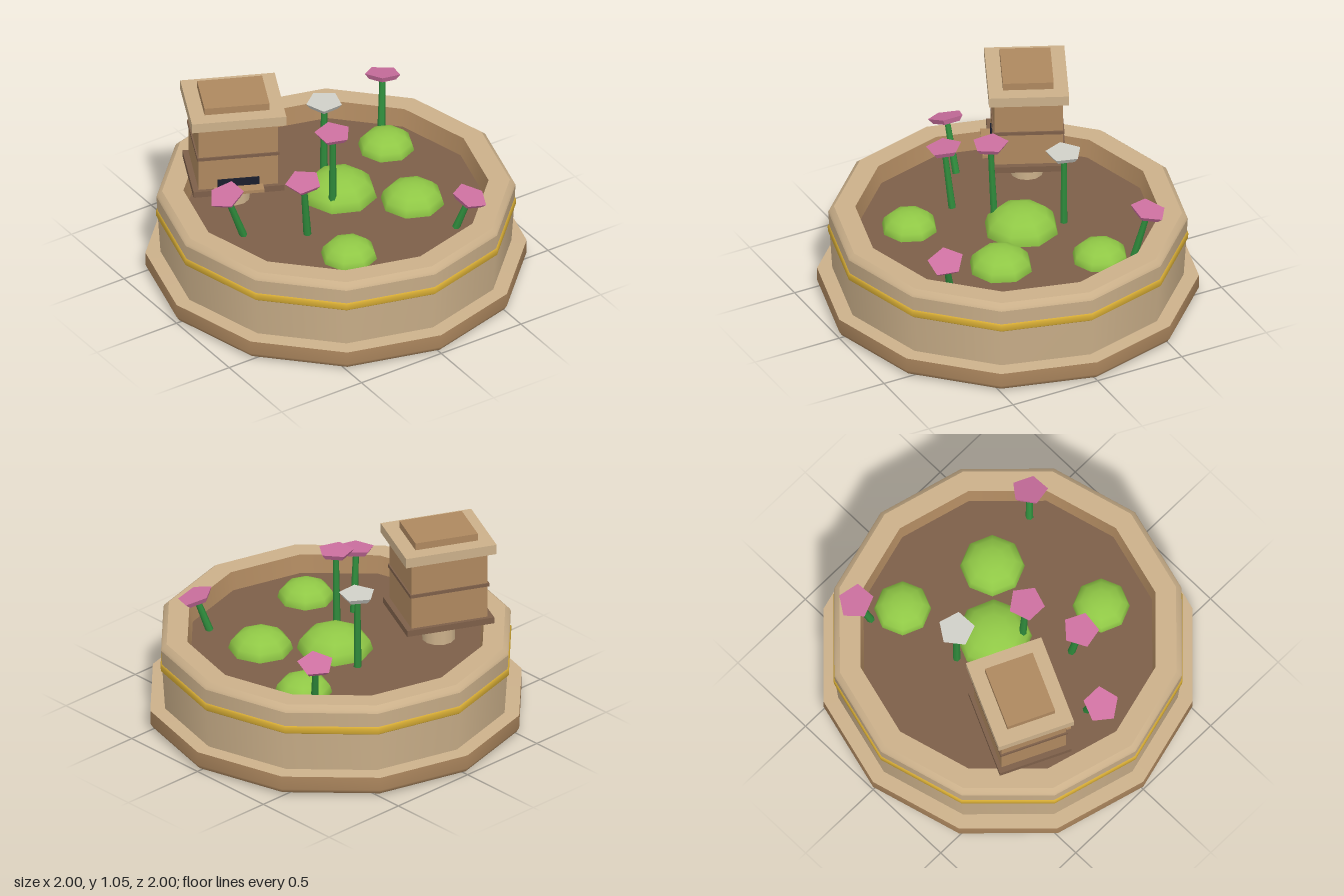
import * as THREE from 'three';

const mat = (name, color, flatShading = false) => {
  const m = new THREE.MeshStandardMaterial({ color, flatShading });
  m.name = name;
  return m;
};

export function createModel() {
  const model = new THREE.Group();
  model.name = 'planter';
  const cream = mat('cream', 0xcbb08a);
  const brown = mat('brown', 0xae885f);
  const soilBrown = mat('soilBrown', 0x7d5f49);
  const gold = mat('gold', 0xd9ae35);
  const leaf = mat('leafGreen', 0x90c846);
  const stemGreen = mat('stemGreen', 0x2f8c3c);
  const pink = mat('pink', 0xcd70a0, true);
  const white = mat('white', 0xd0d0c8, true);
  const navy = mat('navy', 0x1a1d2c);

  const add = (parent, name, geometry, material, x = 0, y = 0, z = 0) => {
    const mesh = new THREE.Mesh(geometry, material);
    mesh.name = name;
    mesh.position.set(x, y, z);
    parent.add(mesh);
    return mesh;
  };

  // Twelve-sided turned surfaces; separate profiles keep their shared edges sharp
  const ring = (name, material, ...points) =>
    add(model, name, new THREE.LatheGeometry(points.map(p => new THREE.Vector2(...p)), 12), material);

  // Pot
  ring('footBottom', brown, [0, 0], [0.95, 0]);
  ring('footSide', brown, [0.95, 0], [0.985, 0.015], [1, 0.04], [1, 0.115]);
  ring('footTop', cream, [1, 0.115], [0.91, 0.12]);
  ring('potWall', cream, [0.92, 0.115], [0.932, 0.3], [0.942, 0.465]);
  ring('rimBevel', cream, [0.942, 0.465], [0.935, 0.48], [0.912, 0.5]);
  ring('rimTop', cream, [0.912, 0.5], [0.8, 0.5]);
  ring('innerWall', brown, [0.8, 0.5], [0.78, 0.39]);
  ring('goldBand', gold, [0.934, 0.337], [0.943, 0.345], [0.945, 0.375], [0.937, 0.383]);

  // Soil
  add(model, 'soil', new THREE.CircleGeometry(0.79, 12), soilBrown, 0, 0.4, 0).rotation.x = -Math.PI / 2;

  // Bushes: x, z, radius
  for (const [x, z, r] of [[0.055, -0.05, 0.2], [0.5, -0.28, 0.15], [0.335, 0.22, 0.17], [-0.225, 0.465, 0.15]]) {
    const dome = new THREE.SphereGeometry(r, 8, 4, 0, Math.PI * 2, 0, Math.PI / 2);
    add(model, 'bush', dome, leaf, x, 0.4, z).scale.y = 0.66;
  }

  // Flowers: stem foot, head centre, angle of one petal corner, material
  const up = new THREE.Vector3(0, 1, 0);
  const flowers = [
    [[-0.055, 0.4, 0.05], [-0.065, 0.88, 0.07], 0, pink],
    [[-0.295, 0.4, 0.175], [-0.335, 0.745, 0.2], 60, pink],
    [[-0.58, 0.4, 0], [-0.685, 0.68, 0], 36, pink],
    [[0.39, 0.4, 0.55], [0.44, 0.592, 0.6], 57, pink],
    [[0.575, 0.4, -0.44], [0.622, 0.685, -0.5], 52, pink],
    [[0.105, 0.4, -0.275], [0.107, 0.82, -0.275], 52, white],
  ];
  for (const [foot, head, angle, material] of flowers) {
    const axis = new THREE.Vector3(...head).sub(new THREE.Vector3(...foot));
    const length = axis.length();
    const flower = new THREE.Group();
    flower.name = 'flower';
    flower.position.set(...foot);
    flower.quaternion.setFromUnitVectors(up, axis.normalize());
    model.add(flower);
    add(flower, 'stem', new THREE.CylinderGeometry(0.016, 0.021, length, 6), stemGreen, 0, length / 2, 0);
    const petals = new THREE.CylinderGeometry(0.098, 0.075, 0.03, 5);
    add(flower, 'flowerHead', petals, material, 0, length, 0)
      .rotation.y = Math.PI / 2 - THREE.MathUtils.degToRad(angle);
  }

  // Little tower on a round post, turned toward the front right corner
  const tower = new THREE.Group();
  tower.name = 'tower';
  tower.position.set(-0.423, 0, -0.335);
  tower.rotation.y = -THREE.MathUtils.degToRad(25);
  model.add(tower);
  const block = (name, material, w, d, y0, y1, x = 0, z = 0) =>
    add(tower, name, new THREE.BoxGeometry(w, y1 - y0, d), material, x, (y0 + y1) / 2, z);

  add(tower, 'post', new THREE.CylinderGeometry(0.088, 0.088, 0.15, 12), cream, 0, 0.473, 0);
  block('basePlate', soilBrown, 0.48, 0.4, 0.545, 0.58);
  block('towerBody', brown, 0.42, 0.36, 0.575, 0.965);
  block('middleTrim', soilBrown, 0.436, 0.374, 0.762, 0.78);
  block('roofSlab', cream, 0.5, 0.42, 0.96, 1.015);
  block('roofCap', brown, 0.344, 0.266, 1.015, 1.055);
  block('slot', navy, 0.22, 0.008, 0.59, 0.635, 0, 0.183);
  block('ledge', brown, 0.26, 0.06, 0.57, 0.588, 0, 0.208);
  return model;
}
